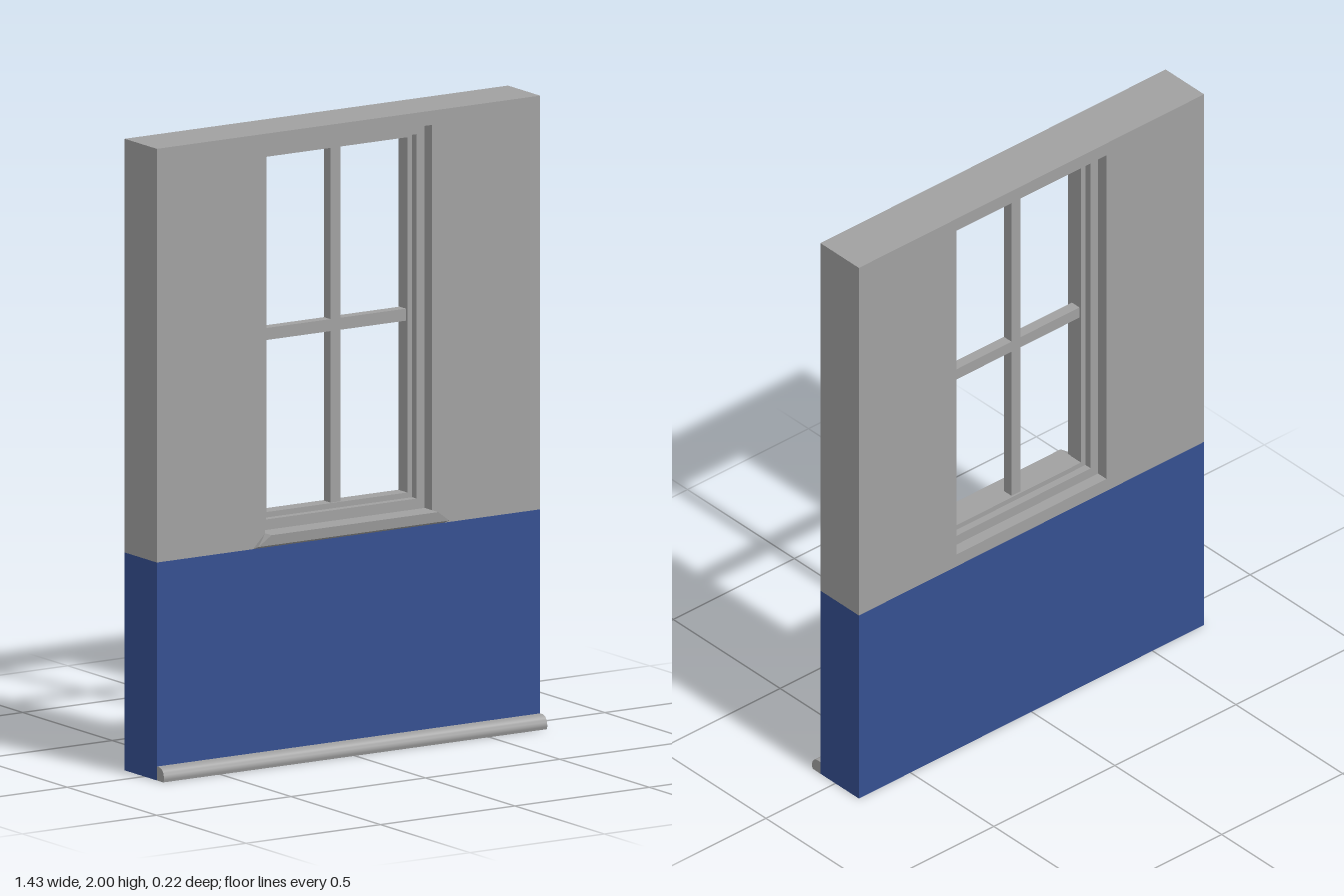
import * as THREE from 'three';
import { mergeVertices, toCreasedNormals } from 'three/addons/utils/BufferGeometryUtils.js';

const grey = new THREE.MeshStandardMaterial({ color: 0xa0a0a0 });
grey.name = 'stone grey';
const blue = new THREE.MeshStandardMaterial({ color: 0x354f90 });
blue.name = 'wainscot blue';

const HALF_W = 0.713, BACK = -0.11, FRONT = 0.07, MID = (BACK + FRONT) / 2, SPLIT = 0.69;

function add(group, name, geometry, material = grey) {
  const mesh = new THREE.Mesh(geometry, material);
  mesh.name = name;
  group.add(mesh);
  return mesh;
}

function rectPath(path, x, y0, y1) {
  path.moveTo(-x, y0);
  path.lineTo(x, y0);
  path.lineTo(x, y1);
  path.lineTo(-x, y1);
  path.closePath();
  return path;
}

// Rectangular plate with a rectangular hole; outer and inner are [halfWidth, bottom, top]
function framePlate(outer, inner, z0, z1) {
  const shape = rectPath(new THREE.Shape(), ...outer);
  shape.holes.push(rectPath(new THREE.Path(), ...inner));
  return new THREE.ExtrudeGeometry(shape, { depth: z1 - z0, bevelEnabled: false }).translate(0, 0, z0);
}

function box(w, h, d, x, y, z) {
  return new THREE.BoxGeometry(w, h, d).translate(x, y, z);
}

// Sill: a bar whose cross-section gets wider towards the bottom edge
function sillGeometry() {
  // [half length, y, z] around the section, counter-clockwise seen from +x
  const section = [
    [0.355, 0.69, 0.07], [0.31, 0.735, 0.07], [0.31, 0.735, 0.105], [0.355, 0.702, 0.1],
  ];
  const pos = [];
  const quad = (a, b, c, d) => pos.push(...a, ...b, ...c, ...a, ...c, ...d);
  const left = section.map(([x, y, z]) => [x, y, z]);
  const right = section.map(([x, y, z]) => [-x, y, z]);
  quad(...left);
  quad(...[...right].reverse());
  for (let i = 0; i < 4; i++) {
    const j = (i + 1) % 4;
    quad(left[i], right[i], right[j], left[j]);
  }
  const geometry = new THREE.BufferGeometry();
  geometry.setAttribute('position', new THREE.Float32BufferAttribute(pos, 3));
  geometry.computeVertexNormals();
  return geometry;
}

// Skirting: rounded profile swept along the width
function skirtingGeometry() {
  const profile = new THREE.Shape();
  profile.moveTo(0, 0);
  profile.lineTo(0.036, 0);
  profile.lineTo(0.04, 0.008);
  profile.bezierCurveTo(0.04, 0.03, 0.03, 0.044, 0.012, 0.044);
  profile.lineTo(0, 0.044);
  const geometry = new THREE.ExtrudeGeometry(profile, {
    depth: 2 * HALF_W, bevelEnabled: false, curveSegments: 8,
  });
  geometry.rotateY(-Math.PI / 2).translate(HALF_W, 0, FRONT);
  geometry.deleteAttribute('uv');
  geometry.deleteAttribute('normal');
  return toCreasedNormals(mergeVertices(geometry), 0.6);
}

export function createModel() {
  const model = new THREE.Group();
  model.name = 'wallWithWindow';

  // Lower wall, blue all round with a bare underside
  add(model, 'lowerWall', box(2 * HALF_W, SPLIT, FRONT - BACK, 0, SPLIT / 2, MID),
    [blue, blue, blue, grey, blue, blue]);

  // Upper wall with the window opening
  const opening = [0.31, 0.735, 1.955];
  add(model, 'upperWall', framePlate([HALF_W, SPLIT, 2], opening, BACK, FRONT));

  // Stepped window frame, each ring set deeper in the wall
  const windowGroup = new THREE.Group();
  windowGroup.name = 'window';
  model.add(windowGroup);
  const frameInner = [0.28, 0.768, 1.922];
  const sashInner = [0.262, 0.785, 1.91];
  add(windowGroup, 'windowFrame', framePlate(opening, frameInner, MID - 0.05, MID + 0.05));
  add(windowGroup, 'windowSash', framePlate(frameInner, sashInner, MID - 0.025, MID + 0.025));

  // Glazing bars
  const [sx, sy0, sy1] = sashInner;
  add(windowGroup, 'verticalBar', box(0.038, sy1 - sy0, 0.036, 0, (sy0 + sy1) / 2, MID));
  for (const side of [-1, 1]) {
    const length = sx - 0.019;
    add(windowGroup, 'horizontalBar', box(length, 0.038, 0.036, side * (0.019 + length / 2), 1.347, MID));
  }

  add(model, 'windowSill', sillGeometry());
  add(model, 'skirtingBoard', skirtingGeometry());
  return model;
}
